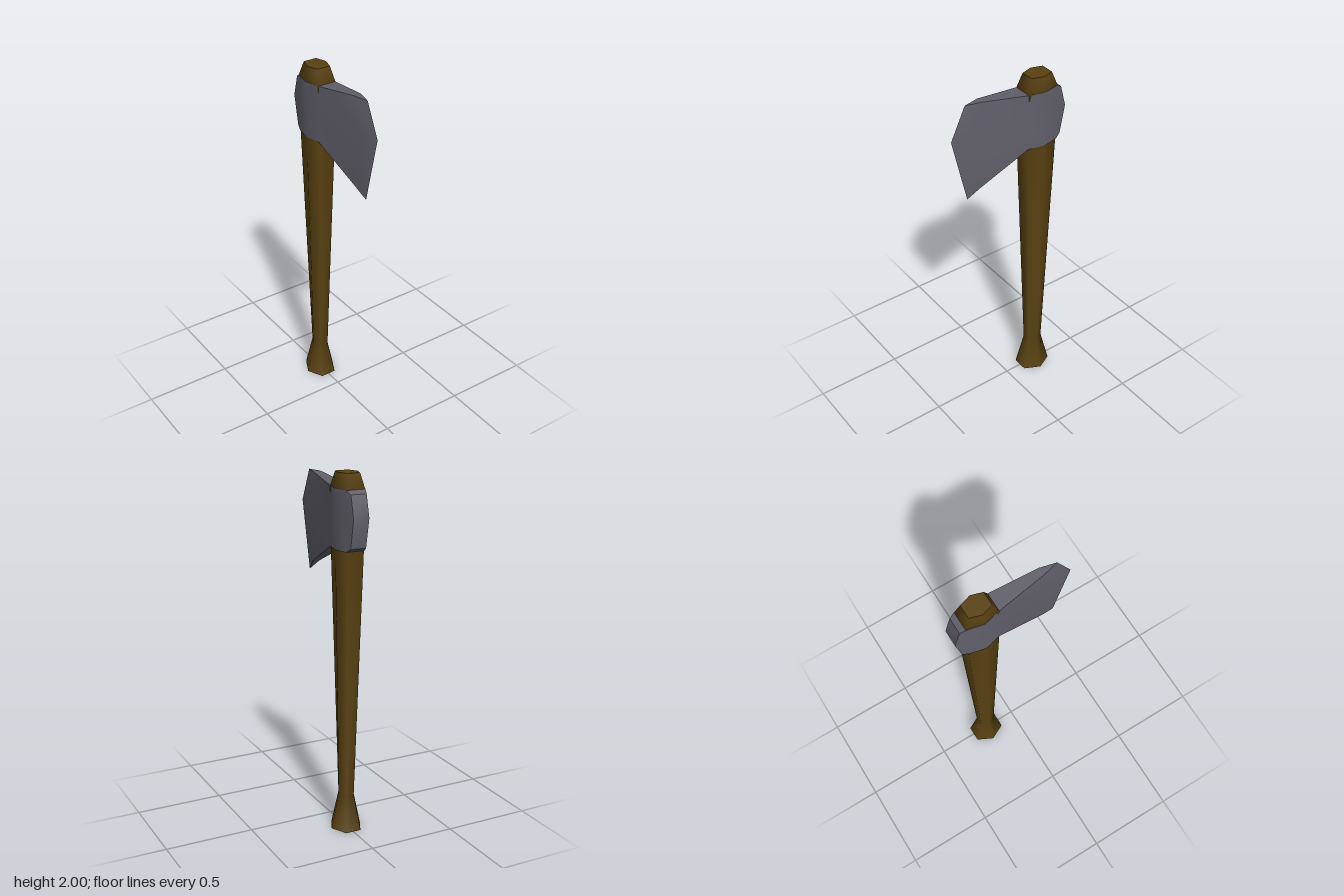
import * as THREE from 'three';
import { toCreasedNormals } from 'three/addons/utils/BufferGeometryUtils.js';

const wood = new THREE.MeshStandardMaterial({ name: 'darkWood', color: 0x594111 });
const steel = new THREE.MeshStandardMaterial({ name: 'greySteel', color: 0x615f6a });
const HANDLE_Z = -0.19;

// Four-cornered face as two triangles, dropping collapsed ones
function quad(out, a, b, c, d) {
  for (const t of [[a, b, c], [a, c, d]]) {
    if (new THREE.Triangle(...t).getArea() > 1e-7) out.push(...t);
  }
}

function geometryFrom(points) {
  return new THREE.BufferGeometry().setFromPoints(points);
}

function addMesh(parent, name, geometry, material) {
  const mesh = new THREE.Mesh(geometry, material);
  mesh.name = name;
  parent.add(mesh);
}

// Six-sided ring: side points at x = a, flat front and back at z = c with half width b
function hexRing([y, a, b, c]) {
  return [[a, 0], [b, -c], [-b, -c], [-a, 0], [-b, c], [b, c]]
    .map(([x, z]) => new THREE.Vector3(x, y, HANDLE_Z + z));
}

function buildHandle() {
  const group = new THREE.Group();
  group.name = 'handle';
  // Height, side radius, flat half width, depth
  const rings = [
    [0, 0.09, 0.045, 0.09],
    [0.2, 0.046, 0.024, 0.046],
    [1.6, 0.07, 0.05, 0.09],
    [1.92, 0.072, 0.053, 0.092],
    [2, 0.058, 0.038, 0.064],
  ].map(hexRing);

  // Smooth shaft
  const index = [];
  for (let j = 0; j < rings.length - 1; j++) {
    for (let k = 0; k < 6; k++) {
      const a = j * 6 + k, b = j * 6 + (k + 1) % 6;
      index.push(a, b, b + 6, a, b + 6, a + 6);
    }
  }
  const shaft = geometryFrom(rings.flat());
  shaft.setIndex(index);
  shaft.computeVertexNormals();
  addMesh(group, 'shaft', shaft, wood);

  // Flat end caps
  const cap = (name, ring) => {
    const pts = [];
    for (let k = 1; k < 5; k++) pts.push(ring[0], ring[k], ring[k + 1]);
    const geo = geometryFrom(pts);
    geo.computeVertexNormals();
    addMesh(group, name, geo, wood);
  };
  cap('topCap', rings[rings.length - 1]);
  cap('bottomCap', [...rings[0]].reverse());
  return group;
}

function buildHead() {
  // Stations from back to cutting edge: half width, then [z, y] at bottom, middle, top
  const stations = [
    [0.045, [-0.312, 1.62], [-0.343, 1.78], [-0.312, 1.9]],
    [0.055, [-0.28, 1.6], [-0.28, 1.77], [-0.28, 1.92]],
    [0.075, [-0.19, 1.6], [-0.19, 1.77], [-0.19, 1.92]],
    [0.053, [-0.1, 1.6], [-0.1, 1.77], [-0.1, 1.92]],
    [0.022, [0.18, 1.46], [0.26, 1.78], [0.168, 1.96]],
    [0, [0.257, 1.4], [0.344, 1.78], [0.257, 1.96]],
  ];
  const side = (s) => stations.map(([w, ...rows]) =>
    rows.map(([z, y]) => new THREE.Vector3(s * w, y, z)));
  const L = side(1), R = side(-1);
  const pts = [];
  for (let i = 0; i < stations.length - 1; i++) {
    const n = i + 1;
    for (let j = 0; j < 2; j++) {
      quad(pts, L[i][j], L[i][j + 1], L[n][j + 1], L[n][j]);
      quad(pts, R[n][j], R[n][j + 1], R[i][j + 1], R[i][j]);
    }
    quad(pts, L[i][2], R[i][2], R[n][2], L[n][2]);
    quad(pts, L[n][0], R[n][0], R[i][0], L[i][0]);
  }
  // Blunt back of the head
  for (let j = 0; j < 2; j++) quad(pts, L[0][j], R[0][j], R[0][j + 1], L[0][j + 1]);
  return toCreasedNormals(geometryFrom(pts), 0.5);
}

export function createModel() {
  const axe = new THREE.Group();
  axe.name = 'axe';
  axe.add(buildHandle());
  addMesh(axe, 'axeHead', buildHead(), steel);
  return axe;
}
